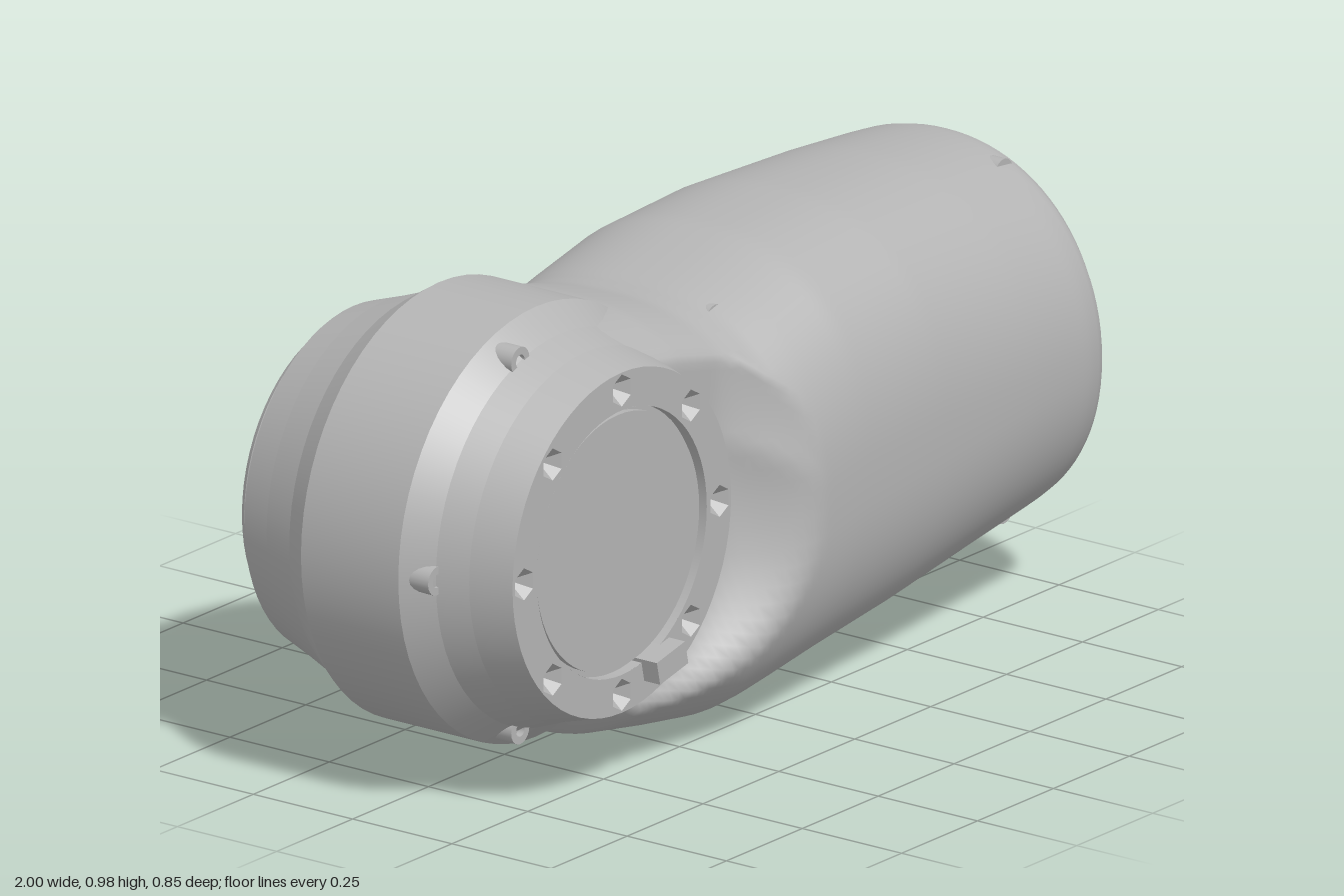
import * as THREE from 'three';

const JX = -0.545, CY = 0.53; // joint axis position
const V2 = (x, y) => new THREE.Vector2(x, y);
const smooth = (t) => THREE.MathUtils.smoothstep(t, 0, 1);

// Body stations: x, bottom y, top y, half depth, roundness exponent
const STATIONS = [
  [-0.5, 0.09, 0.95, 0.42, 2.4], [-0.45, 0.045, 0.95, 0.42, 2.4], [-0.3, 0.02, 0.925, 0.42, 2.45],
  [-0.15, 0.0, 0.885, 0.42, 2.5], [-0.08, 0.005, 0.885, 0.42, 2.5], [0, 0.015, 0.905, 0.42, 2.5],
  [0.15, 0.032, 0.943, 0.42, 2.45], [0.4, 0.062, 0.955, 0.42, 2.4], [0.7, 0.1, 0.948, 0.42, 2.2],
  [0.89, 0.124, 0.936, 0.418, 2.1], [0.935, 0.13, 0.932, 0.408, 2.1], [0.955, 0.135, 0.927, 0.388, 2.1],
];

function ovalPoint(a, hy, hz, n) {
  const c = Math.cos(a), s = Math.sin(a);
  return V2(Math.sign(c) * hz * Math.abs(c) ** (2 / n), Math.sign(s) * hy * Math.abs(s) ** (2 / n));
}

function stationAt(x) {
  let i = 0;
  while (i < STATIONS.length - 2 && x > STATIONS[i + 1][0]) i++;
  const A = STATIONS[i], B = STATIONS[i + 1], t = (x - A[0]) / (B[0] - A[0]);
  return A.map((v, k) => v + (B[k] - v) * t);
}

// Oval sleeve, pinched in depth where it meets the joint
function bodyGeometry() {
  const around = 96, xs = [];
  for (let x = -0.5; x < 0.93; x += 0.02) xs.push(x);
  xs.push(0.935, 0.945, 0.955);
  const pos = [], idx = [];
  xs.forEach((x, i) => {
    const [, lo, hi, hz, n] = stationAt(x);
    for (let j = 0; j < around; j++) {
      const p = ovalPoint((j / around) * Math.PI * 2, (hi - lo) / 2, hz, n);
      const y = p.y + (hi + lo) / 2;
      const sweep = (Math.hypot(x + 0.7, y - 0.8) - 0.52) / 0.25;
      const clear = (Math.hypot(x - JX, y - CY) - 0.36) / 0.2;
      const lim = 0.285 + 0.135 * smooth(Math.min(sweep, clear));
      pos.push(x, y, THREE.MathUtils.clamp(p.x, -lim, lim));
      if (i) {
        const k = (j + 1) % around, a = (i - 1) * around, b = i * around;
        idx.push(a + j, a + k, b + j, a + k, b + k, b + j);
      }
    }
  });
  const g = new THREE.BufferGeometry();
  g.setAttribute('position', new THREE.Float32BufferAttribute(pos, 3));
  g.setIndex(idx);
  g.computeVertexNormals();
  return g;
}

export function createModel() {
  const model = new THREE.Group();
  const metal = new THREE.MeshStandardMaterial({ color: 0xb4b4b4, side: THREE.DoubleSide });
  metal.name = 'grey metal';

  const add = (parent, name, geo, x = 0, y = 0, z = 0) => {
    const m = new THREE.Mesh(geo, metal);
    m.name = name;
    m.position.set(x, y, z);
    parent.add(m);
    return m;
  };
  // Lathe turned about z; each segment keeps its own crisp edge
  const turned = (parent, name, profile, x, y, z, sides = 64) => {
    const g = new THREE.Group();
    g.name = name;
    g.position.set(x, y, z);
    parent.add(g);
    for (let i = 1; i < profile.length; i++) {
      const pts = [profile[i - 1], profile[i]].map(([r, h]) => V2(r, h));
      add(g, name + 'Band', new THREE.LatheGeometry(pts, sides)).rotation.x = Math.PI / 2;
    }
    return g;
  };

  // Flange with a central opening and a ring of hexagonal sockets
  const flange = (name, outline, openR, ringR, offset, socketR) => {
    const g = new THREE.Group();
    g.name = name;
    const shape = new THREE.Shape(outline);
    const opening = new THREE.Path();
    opening.absarc(0, 0, openR, 0, Math.PI * 2, true);
    shape.holes.push(opening);
    for (let i = 0; i < 8; i++) {
      const a = offset + (i * Math.PI) / 4, cx = ringR * Math.cos(a), cy = ringR * Math.sin(a);
      const hex = [];
      for (let k = 0; k < 6; k++) {
        const b = (-k * Math.PI) / 3;
        hex.push(V2(cx + socketR * Math.sin(b), cy - socketR * Math.cos(b)));
      }
      shape.holes.push(new THREE.Path(hex));
      const cup = new THREE.ConeGeometry(socketR, 0.04, 6, 1, true).toNonIndexed();
      cup.computeVertexNormals();
      add(g, 'socket', cup, cx, cy, -0.02).rotation.x = -Math.PI / 2;
    }
    add(g, name + 'Plate', new THREE.ShapeGeometry(shape, 48));
    model.add(g);
    return g;
  };

  add(model, 'armBody', bodyGeometry());

  // Joint housing with bevelled front and back
  turned(model, 'jointHousing', [
    [0, -0.345], [0.36, -0.345], [0.385, -0.27], [0.415, -0.19], [0.455, -0.13],
    [0.455, 0.115], [0.41, 0.175], [0.385, 0.24], [0.36, 0.33],
  ], JX, CY, 0);

  // Front flange and its cover disc, set behind a narrow groove
  const circle = Array.from({ length: 64 }, (_, i) => {
    const a = (i / 64) * Math.PI * 2;
    return V2(0.36 * Math.cos(a), 0.36 * Math.sin(a));
  });
  flange('frontFlange', circle, 0.28, 0.322, 0, 0.034).position.set(JX, CY, 0.33);
  turned(model, 'frontCover', [[0.28, 0.33], [0.28, 0.305], [0.268, 0.305], [0.268, 0.32], [0, 0.32]], JX, CY, 0);
  add(model, 'locatingKey', new THREE.BoxGeometry(0.095, 0.05, 0.07), -0.43, 0.252, 0.335).rotation.z = 0.22;

  // Back cover and hollow hub
  turned(model, 'backCover', [[0, -0.378], [0.325, -0.378], [0.335, -0.365], [0.335, -0.335]], JX, CY, 0);
  turned(model, 'backHub', [
    [0, -0.385], [0.075, -0.385], [0.075, -0.428], [0.1, -0.428], [0.11, -0.418], [0.11, -0.37],
  ], JX, CY, 0, 32);

  // End flange, recess and locating pin
  const oval = Array.from({ length: 96 }, (_, i) => ovalPoint((i / 96) * Math.PI * 2, 0.396, 0.388, 2.1));
  const end = flange('endFlange', oval, 0.2, 0.265, Math.PI / 8, 0.038);
  end.position.set(0.955, CY + 0.001, 0);
  end.rotation.y = Math.PI / 2;
  turned(end, 'endRecess', [[0.2, 0], [0.2, -0.012], [0.183, -0.012], [0.183, -0.06], [0, -0.06]], 0, 0, 0);
  add(model, 'locatingPin', new THREE.BoxGeometry(0.07, 0.055, 0.03), 0.965, CY, -0.22);

  // Housing screws, facing forward
  const screws = [
    [-0.957, 0.53, 0.18], [-0.683, 0.92, 0.18], [-0.683, 0.14, 0.18],
    [-0.055, 0.84, 0.19], [0.91, 0.882, 0.18], [0.91, 0.17, 0.18],
  ];
  for (const [x, y, z] of screws) {
    turned(model, 'housingScrew', [[0.03, -0.08], [0.03, 0], [0.014, 0], [0.014, -0.015], [0, -0.015]], x, y, z, 20);
  }
  return model;
}
